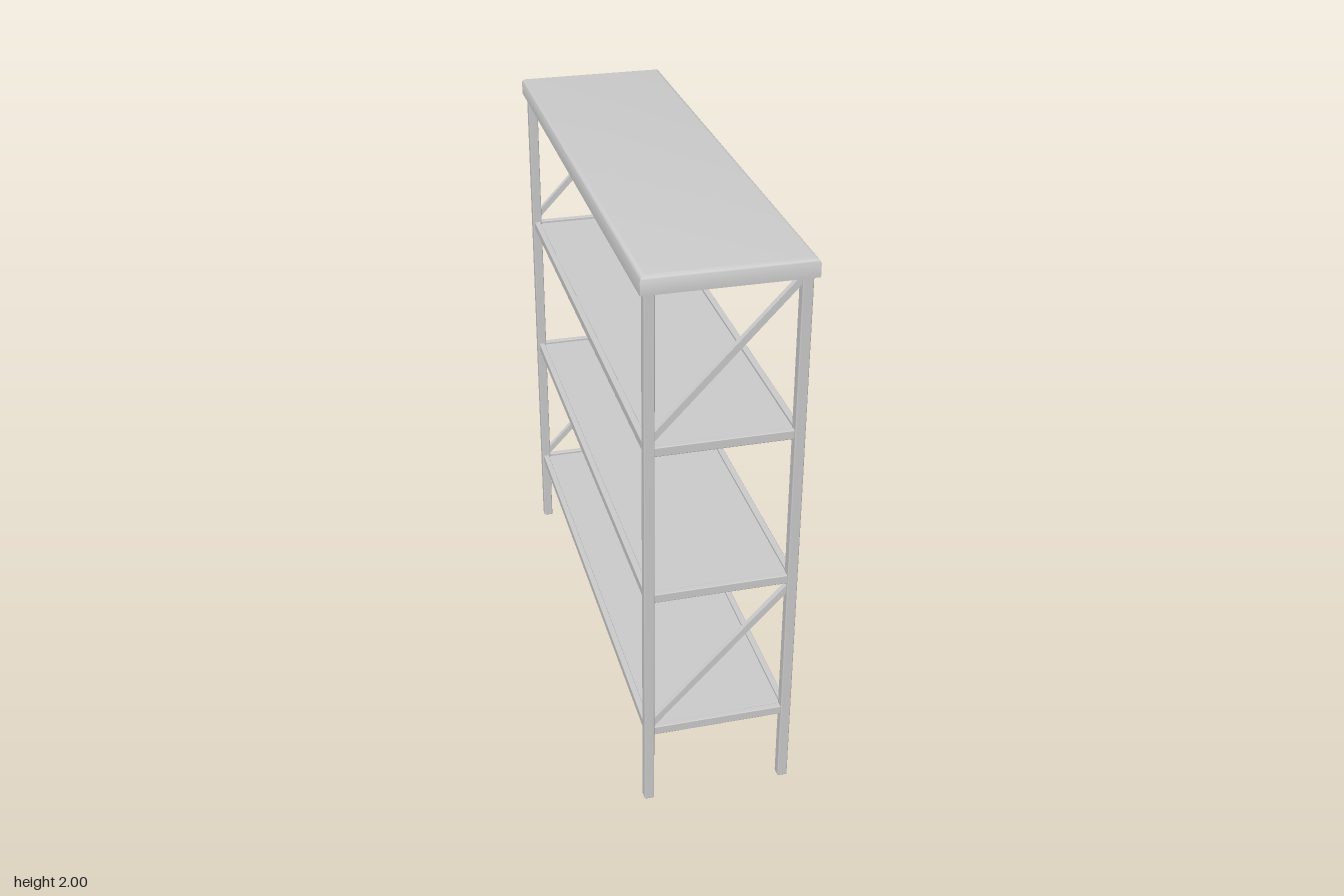
import * as THREE from 'three';
import { toCreasedNormals } from 'three/addons/utils/BufferGeometryUtils.js';
import { RoundedBoxGeometry } from 'three/addons/geometries/RoundedBoxGeometry.js';

const LEG = 0.035, LEG_X = 0.243, LEG_Z = 0.933;
const CEILING = 1.982;

// Hollow table top: a mitred rim profile [inset, y] swept round a rectangle
function topGeometry(halfX, halfZ) {
  const profile = [];
  const r = 0.016;
  for (let i = 0; i <= 5; i++) {
    const a = (i / 5) * Math.PI / 2;
    profile.push([r * (1 - Math.sin(a)) + 0.003 * (1 - i / 5), 2 - r + r * Math.cos(a)]);
  }
  profile.push([0, 1.94], [0.014, 1.94], [0.014, CEILING]);
  const corners = [[1, 1], [1, -1], [-1, -1], [-1, 1]];
  const rings = profile.map(([d, y]) =>
    corners.map(([sx, sz]) => [sx * (halfX - d), y, sz * (halfZ - d)]));
  const pos = [];
  const quad = (a, b, c, d) => pos.push(...a, ...b, ...c, ...a, ...c, ...d);
  quad(...rings[0]);
  for (let i = 0; i < rings.length - 1; i++) {
    const up = rings[i], low = rings[i + 1];
    for (let k = 0; k < 4; k++) {
      const n = (k + 1) % 4;
      quad(low[k], low[n], up[n], up[k]);
    }
  }
  quad(...[...rings[rings.length - 1]].reverse());
  const geo = new THREE.BufferGeometry();
  geo.setAttribute('position', new THREE.Float32BufferAttribute(pos, 3));
  return toCreasedNormals(geo, 0.6);
}

export function createModel() {
  const model = new THREE.Group();
  model.name = 'shelfUnit';
  const mat = new THREE.MeshStandardMaterial({ color: 0xcccccc });

  const add = (parent, name, geo, x, y, z) => {
    const mesh = new THREE.Mesh(geo, mat);
    mesh.name = name;
    mesh.position.set(x, y, z);
    parent.add(mesh);
    return mesh;
  };

  add(model, 'top', topGeometry(0.275, 0.965), 0, 0, 0);

  // Legs reach up inside the hollow top
  const legGeo = new RoundedBoxGeometry(LEG, CEILING, LEG, 2, 0.004);
  for (const sx of [-1, 1]) for (const sz of [-1, 1])
    add(model, 'leg', legGeo, sx * LEG_X, CEILING / 2, sz * LEG_Z);

  // Shelves: four rails between the legs around a recessed panel
  const railH = 0.032, railW = 0.022;
  const endRail = new RoundedBoxGeometry(2 * LEG_X - LEG + 0.006, railH, railW, 2, 0.003);
  const sideRail = new RoundedBoxGeometry(railW, railH, 2 * LEG_Z - LEG + 0.006, 2, 0.003);
  const panel = new THREE.BoxGeometry(2 * LEG_X - 0.01, 0.012, 2 * LEG_Z - 0.01);
  for (const y of [0.295, 0.847, 1.398]) {
    const shelf = new THREE.Group();
    shelf.name = 'shelf';
    shelf.position.y = y;
    model.add(shelf);
    add(shelf, 'shelfPanel', panel, 0, 0, 0);
    for (const s of [-1, 1]) {
      add(shelf, 'endRail', endRail, 0, 0, s * LEG_Z);
      add(shelf, 'sideRail', sideRail, s * LEG_X, 0, 0);
    }
  }

  // Diagonal braces, with ends cut upright against the legs
  const bx = 0.23, rise = 0.485, t = 0.016, depth = 0.02;
  const outline = new THREE.Shape([
    new THREE.Vector2(-bx, -t), new THREE.Vector2(bx, rise - t),
    new THREE.Vector2(bx, rise + t), new THREE.Vector2(-bx, t),
  ]);
  const braceGeo = new THREE.ExtrudeGeometry(outline, { depth, bevelEnabled: false });
  braceGeo.translate(0, 0, -depth / 2);
  for (const y of [0.328, 1.448]) for (const s of [-1, 1])
    add(model, 'brace', braceGeo, 0, y, s * LEG_Z);

  return model;
}
